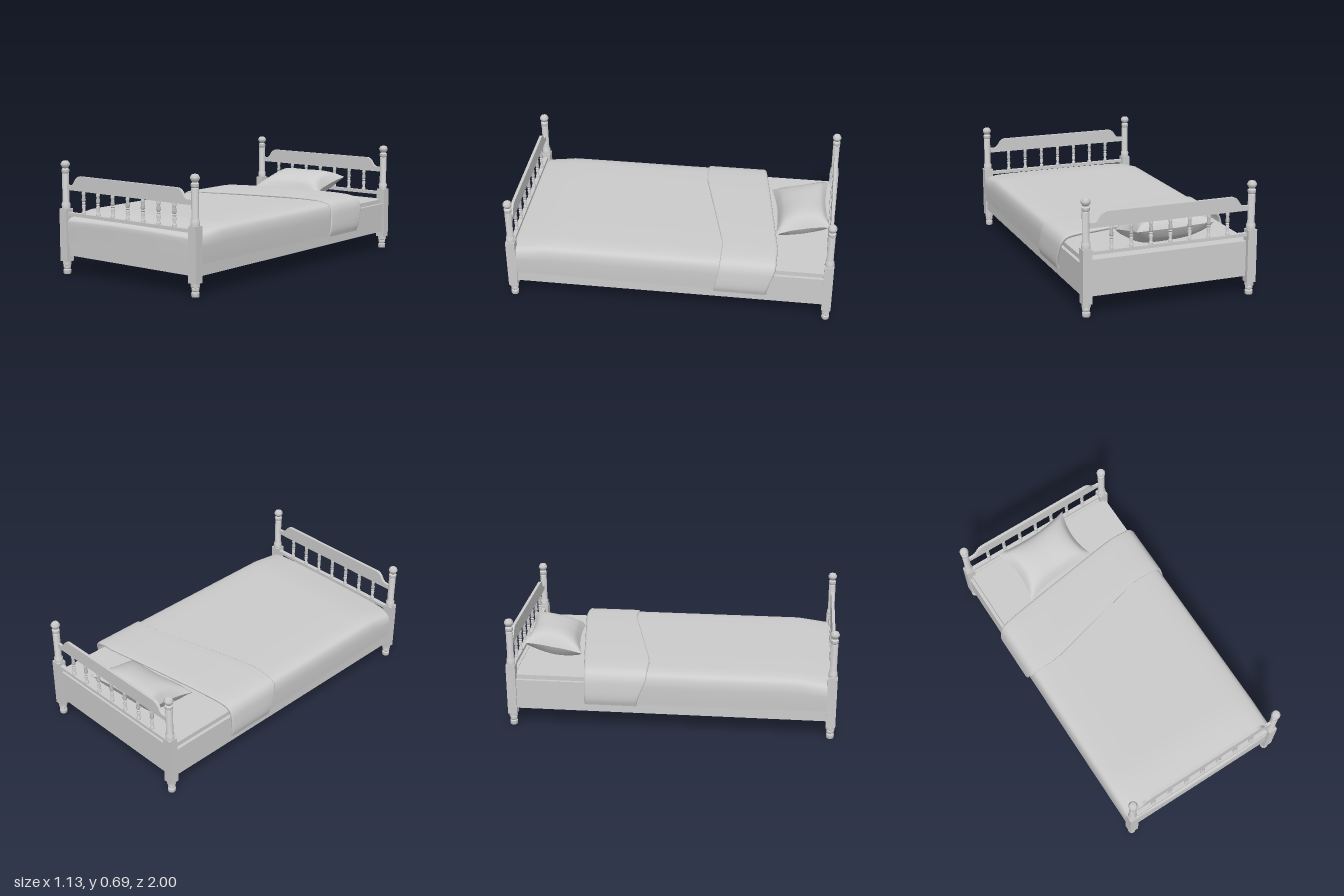
import * as THREE from 'three';
import { toCreasedNormals } from 'three/addons/utils/BufferGeometryUtils.js';

const wood = new THREE.MeshStandardMaterial({ color: 0xcccccc });
const cloth = new THREE.MeshStandardMaterial({ color: 0xcccccc, side: THREE.DoubleSide });

function add(parent, name, geometry, x = 0, y = 0, z = 0, material = wood) {
  const mesh = new THREE.Mesh(geometry, material);
  mesh.name = name;
  mesh.position.set(x, y, z);
  parent.add(mesh);
  return mesh;
}

const box = (w, h, d) => new THREE.BoxGeometry(w, h, d);

function turned(profile, sides) {
  const points = profile.map(([r, y]) => new THREE.Vector2(r, y));
  return toCreasedNormals(new THREE.LatheGeometry(points, sides), 0.75);
}

// Smooth sheet from a rule: point(u, v) with u and v in 0..1
function sheet(nu, nv, point) {
  const positions = [], index = [];
  for (let j = 0; j <= nv; j++)
    for (let i = 0; i <= nu; i++) positions.push(...point(i / nu, j / nv));
  for (let j = 0; j < nv; j++)
    for (let i = 0; i < nu; i++) {
      const a = j * (nu + 1) + i, b = a + nu + 1;
      index.push(a, b, a + 1, b, b + 1, a + 1);
    }
  const geometry = new THREE.BufferGeometry();
  geometry.setAttribute('position', new THREE.Float32BufferAttribute(positions, 3));
  geometry.setIndex(index);
  geometry.computeVertexNormals();
  return geometry;
}

// Curve across the bed from one hanging edge to the other, given its -x half
function acrossBed(half) {
  const mirrored = half.slice(0, -1).reverse().map(([x, y]) => [-x, y]);
  return new THREE.CatmullRomCurve3(
    [...half, ...mirrored].map(([x, y]) => new THREE.Vector3(x, y, 0)), false, 'centripetal');
}

const { clamp, lerp, smoothstep } = THREE.MathUtils;

// Slanting edges of the folded-back band
const foldBack = (x) => lerp(-0.52, -0.655, clamp((x + 0.55) / 0.93, 0, 1));
const foldFront = (x) => lerp(-0.14, -0.315, clamp((x + 0.36) / 0.72, 0, 1));

function makePost() {
  const post = new THREE.Group();
  add(post, 'postFoot', turned([[0, 0], [0.022, 0], [0.024, 0.006], [0.024, 0.024], [0.019, 0.029],
    [0.019, 0.033], [0.023, 0.037], [0.023, 0.05], [0.02, 0.053], [0.027, 0.057], [0.027, 0.08]], 12));
  add(post, 'postBlock', box(0.057, 0.322, 0.057), 0, 0.239, 0);
  add(post, 'postTurning', turned([[0.026, 0.395], [0.027, 0.43], [0.024, 0.436], [0.021, 0.442],
    [0.022, 0.61], [0.019, 0.614], [0.024, 0.62], [0.024, 0.637], [0.015, 0.645], [0.02, 0.65],
    [0.028, 0.664], [0.028, 0.673], [0.02, 0.687], [0, 0.692]], 12));
  return post;
}

// One end of the bed: posts, panel, rail, spindles and shaped top board
function makeEnd() {
  const end = new THREE.Group();
  for (const side of [-1, 1]) {
    const post = makePost();
    post.name = side > 0 ? 'leftPost' : 'rightPost';
    post.position.set(side * 0.512, 0, 0.97);
    end.add(post);
  }
  add(end, 'endPanel', box(0.98, 0.215, 0.02), 0, 0.2225, 0.964);
  add(end, 'spindleRail', box(0.98, 0.02, 0.026), 0, 0.37, 0.97);

  const spindle = turned([[0.013, 0.378], [0.013, 0.392], [0.008, 0.4], [0.012, 0.432], [0.008, 0.44],
    [0.012, 0.446], [0.008, 0.453], [0.013, 0.463], [0.009, 0.492], [0.012, 0.5], [0.012, 0.506],
    [0.008, 0.518]], 8);
  for (let i = -3; i <= 3; i++) add(end, 'spindle', spindle, i * 0.12, 0, 0.97);

  const s = new THREE.Shape();
  s.moveTo(-0.49, 0.515);
  s.lineTo(0.49, 0.515);
  s.lineTo(0.49, 0.545);
  s.lineTo(0.462, 0.545);
  s.bezierCurveTo(0.425, 0.55, 0.435, 0.595, 0.39, 0.604);
  s.lineTo(-0.39, 0.604);
  s.bezierCurveTo(-0.435, 0.595, -0.425, 0.55, -0.462, 0.545);
  s.lineTo(-0.49, 0.545);
  s.closePath();
  const board = new THREE.ExtrudeGeometry(s, { depth: 0.018, bevelEnabled: false, curveSegments: 6 });
  add(end, 'topBoard', board, 0, 0, 0.961);
  return end;
}

function makeBlanket() {
  const blanket = new THREE.Group();

  // Main cover, lower towards the foot
  const cover = acrossBed([[-0.538, 0.17], [-0.541, 0.25], [-0.539, 0.32], [-0.523, 0.362],
    [-0.48, 0.378], [-0.35, 0.385], [0, 0.387]]);
  add(blanket, 'blanketCover', sheet(40, 16, (u, v) => {
    const p = cover.getPoint(u);
    const z = lerp(foldBack(p.x) + 0.07, 0.945, v);
    const sag = 0.025 * smoothstep(z, 0.75, 0.95) * smoothstep(p.y, 0.25, 0.36);
    const hem = 0.012 * v * (1 - smoothstep(p.y, 0.17, 0.25));
    return [p.x, p.y - sag + hem, z];
  }), 0, 0, 0, cloth);

  // Flap hanging over the foot end, its hem dropping at the corners
  add(blanket, 'footFlap', sheet(28, 8, (u, v) => {
    const x = lerp(-0.5, 0.5, u), a = Math.abs(x);
    const top = 0.362 - 0.055 * x * x;
    const hem = a < 0.36 ? 0.243 - 0.035 * a : 0.23 - (a - 0.36) * 0.4;
    const face = 0.996 - 0.05 * x * x;
    const bend = Math.min(v * 2, 1), fall = Math.max(v * 2 - 1, 0);
    const y = top - 0.03 * (1 - Math.cos(bend * Math.PI / 2));
    return [x, lerp(y, hem, fall), lerp(0.93, face, Math.sin(bend * Math.PI / 2))];
  }), 0, 0, 0, cloth);

  // Folded-back band with tucked-under front and rear edges
  const band = acrossBed([[-0.553, 0.17], [-0.563, 0.21], [-0.558, 0.29], [-0.548, 0.34],
    [-0.525, 0.374], [-0.48, 0.389], [-0.35, 0.398], [0, 0.402]]);
  const rows = [[0.02, 1], [0, 0.6], [0, 0.25], [0.02, 0], [0.25, 0], [0.5, 0], [0.75, 0],
    [0.96, 0], [0.99, 0.25], [1, 0.6], [0.97, 1]];
  add(blanket, 'blanketFold', sheet(44, rows.length - 1, (u, v) => {
    const p = band.getPoint(u);
    const [along, tuck] = rows[Math.round(v * (rows.length - 1))];
    const hang = 1 - smoothstep(p.y, 0.17, 0.38);
    const front = foldFront(p.x) + hang * (p.x < 0 ? -0.06 : 0.03);
    const back = foldBack(p.x) + hang * (p.x < 0 ? 0 : 0.05);
    const top = smoothstep(p.y, 0.3, 0.39);
    return [p.x * (1 - 0.03 * tuck), p.y - 0.02 * tuck * top, lerp(front, back, along)];
  }), 0, 0, 0, cloth);
  return blanket;
}

// Puffed cushion: two sheets between four pulled-out corners, leaning up at the back
function makePillow() {
  const pillow = new THREE.Group();
  for (const side of [1, -1]) {
    add(pillow, side > 0 ? 'pillowTop' : 'pillowUnderside', sheet(20, 16, (u, v) => {
      const s = u * 2 - 1, t = v * 2 - 1;
      const a = 0.5 + s * (1 - 0.14 * (1 - t * t)) / 2;
      const b = 0.5 + t * (1 - 0.14 * (1 - s * s)) / 2;
      const x = lerp(lerp(-0.31, 0.205, a), lerp(-0.28, 0.22, a), b);
      const z = lerp(lerp(-0.935, -0.965, a), lerp(-0.575, -0.63, a), b);
      const puff = 0.085 * Math.sqrt((1 - s ** 4) * (1 - t * t));
      return [x, lerp(0.448, 0.375, b) + side * puff + 0.008 * Math.abs(s * t), z];
    }), 0, 0, 0, cloth);
  }
  return pillow;
}

export function createModel() {
  const bed = new THREE.Group();
  bed.name = 'bed';

  const foot = makeEnd();
  foot.name = 'footboard';
  const head = makeEnd();
  head.name = 'headboard';
  head.rotation.y = Math.PI;
  bed.add(foot, head);

  // Side rails, base and mattress
  for (const side of [-1, 1])
    add(bed, side > 0 ? 'leftRail' : 'rightRail', box(0.02, 0.187, 1.9), side * 0.52, 0.2085, 0);
  add(bed, 'base', box(1.02, 0.02, 1.91), 0, 0.133, 0);
  add(bed, 'mattress', box(1.018, 0.19, 1.905), 0, 0.234, 0);

  const blanket = makeBlanket();
  blanket.name = 'blanket';
  const pillow = makePillow();
  pillow.name = 'pillow';
  bed.add(blanket, pillow);
  return bed;
}
